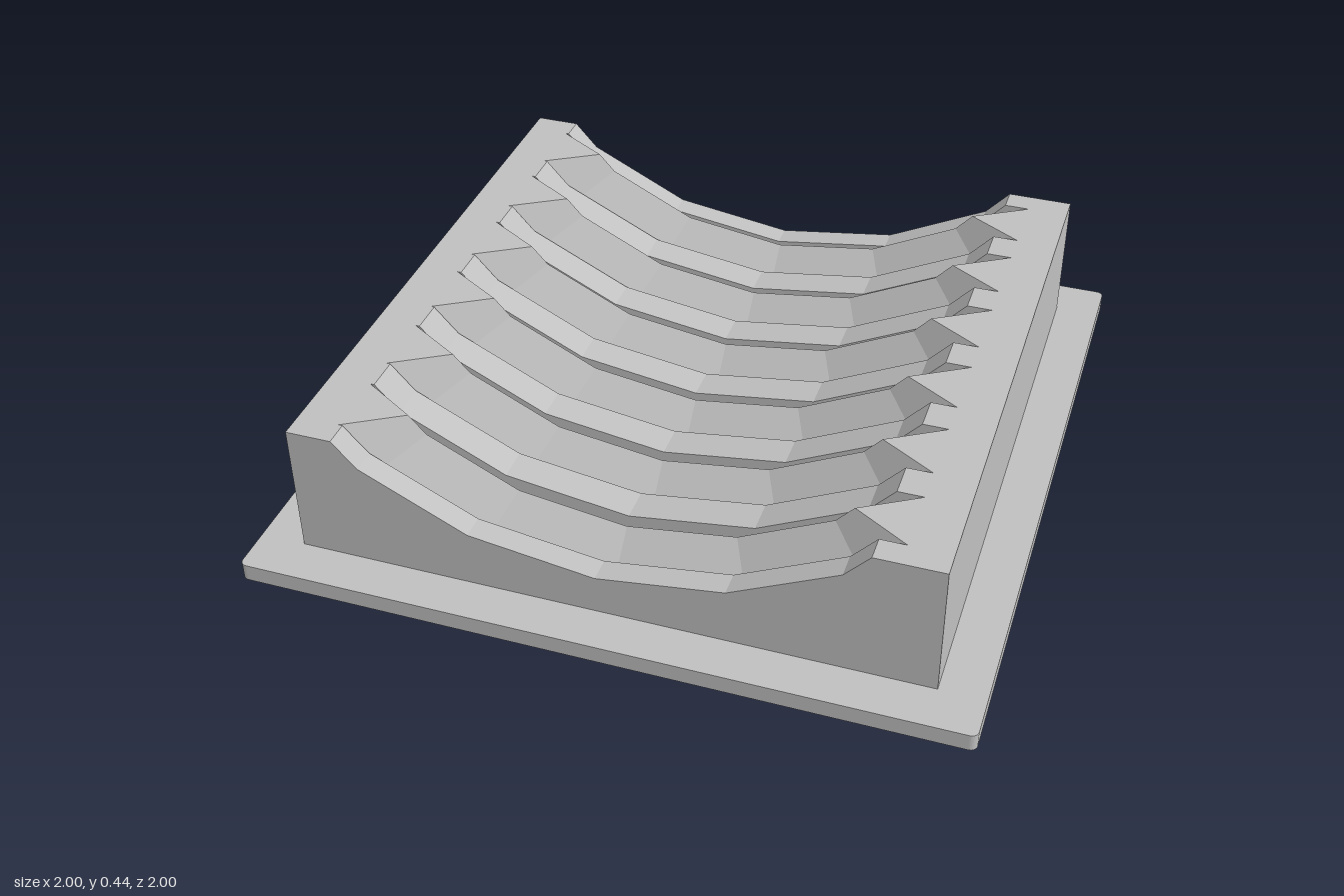
import * as THREE from 'three';

const TOP = 0.435, HALF = 0.873, BOTTOM = 0.04, PLATE = 0.05;

// Cross-section of the block: a faceted elliptical trough clipped at the top, then the outer walls
function section(cx, cy, rx, ry) {
  const at = (i) => {
    const a = (i * Math.PI) / 8;
    return [rx * Math.sin(a), cy - ry * Math.cos(a)];
  };
  const [x2, y2] = at(2), [x3, y3] = at(3);
  const rim = x2 + ((x3 - x2) * (TOP - y2)) / (y3 - y2);
  const ring = [[cx - rim, TOP]];
  for (let i = -2; i <= 2; i++) ring.push([cx + at(i)[0], at(i)[1]]);
  ring.push([cx + rim, TOP], [HALF, TOP], [HALF, BOTTOM], [-HALF, BOTTOM], [-HALF, TOP]);
  return ring;
}

// Skin between successive sections; hard facets throughout
function loft(stations) {
  const pos = [];
  for (let s = 0; s < stations.length - 1; s++) {
    const [A, za] = stations[s], [B, zb] = stations[s + 1];
    for (let i = 0; i < A.length; i++) {
      const j = (i + 1) % A.length;
      const a = [...A[i], za], a2 = [...A[j], za], b = [...B[i], zb], b2 = [...B[j], zb];
      pos.push(...a, ...b, ...b2, ...a, ...b2, ...a2);
    }
  }
  const geo = new THREE.BufferGeometry();
  geo.setAttribute('position', new THREE.Float32BufferAttribute(pos, 3));
  geo.computeVertexNormals();
  return geo;
}

function endCap(ring, mirror) {
  return new THREE.ShapeGeometry(new THREE.Shape(ring.map(([x, y]) => new THREE.Vector2(x * mirror, y))));
}

export function createModel() {
  const model = new THREE.Group();
  const grey = new THREE.MeshStandardMaterial({ color: 0xc0c0c0 });
  grey.name = 'grey';
  const add = (name, geo, parent = model) => {
    const mesh = new THREE.Mesh(geo, grey);
    mesh.name = name;
    parent.add(mesh);
    return mesh;
  };

  // Base plate with slightly rounded corners
  const r = 0.02, plate = new THREE.Shape();
  [[1, 1], [-1, 1], [-1, -1], [1, -1]].forEach(([sx, sy], i) => {
    plate.absarc(sx * (1 - r), sy * (1 - r), r, (i * Math.PI) / 2, ((i + 1) * Math.PI) / 2, false);
  });
  const plateGeo = new THREE.ExtrudeGeometry(plate, { depth: PLATE, bevelEnabled: false, curveSegments: 4 });
  plateGeo.rotateX(-Math.PI / 2);
  add('basePlate', plateGeo);

  // Ribbed cradle: sharp ridges, deep flanks and shallower flat lands between them
  const ridge = section(0, 0.791, 0.784, 0.578);
  const groove = section(0, 0.791, 0.915, 0.674);
  const land = section(-0.03, 0.835, 0.915, 0.672);
  const pitch = 0.284, flank = 0.093;
  const stations = [[land, -HALF]];
  for (let i = 0; i < 6; i++) {
    const z = (i - 2.5) * pitch;
    stations.push([land, z - flank], [groove, z - flank], [ridge, z], [groove, z + flank], [land, z + flank]);
  }
  stations.push([land, HALF]);

  const cradle = new THREE.Group();
  cradle.name = 'cradle';
  model.add(cradle);
  add('ribbedBlock', loft(stations), cradle);
  add('frontFace', endCap(land, 1), cradle).position.z = HALF;
  const back = add('backFace', endCap(land, -1), cradle);
  back.rotation.y = Math.PI;
  back.position.z = -HALF;

  return model;
}
